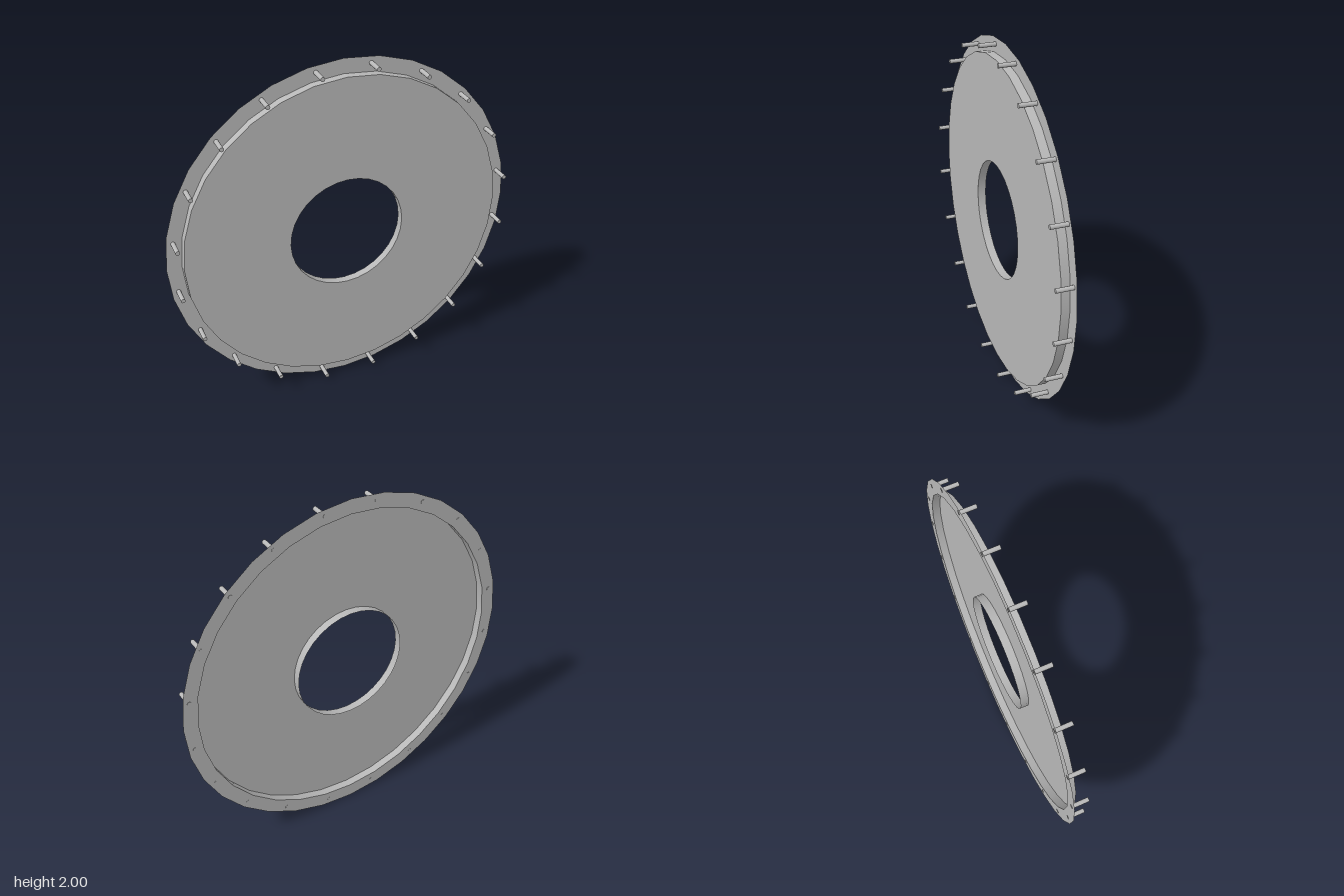
import * as THREE from 'three';

const SIDES = 32;
const R_OUTER = 1, R_WALL = 0.917, R_HOLE = 0.33;
const FRONT = 0, BACK = -0.046;
const PINS = 20, PIN_CIRCLE = 0.962, PIN_RADIUS = 0.012, PIN_LENGTH = 0.095;

export function createModel() {
  const model = new THREE.Group();
  model.name = 'flangedDisc';
  const metal = new THREE.MeshStandardMaterial({ color: 0xb8b8b8, side: THREE.DoubleSide });
  metal.name = 'grey metal';

  // Everything turns about the z axis through the centre of the disc
  const body = new THREE.Group();
  body.name = 'body';
  body.position.y = 1;
  model.add(body);

  const add = (name, geometry, parent = body) => {
    const mesh = new THREE.Mesh(geometry, metal);
    mesh.name = name;
    parent.add(mesh);
    return mesh;
  };

  // Flat thin sheets: raised face in front, bolting flange behind
  const sheet = (name, inner, outer, z) => {
    add(name, new THREE.RingGeometry(inner, outer, SIDES)).position.z = z;
  };
  sheet('faceplate', R_HOLE, R_WALL, FRONT);
  sheet('flange', R_WALL, R_OUTER, BACK);

  // Thin walls joining the face to the flange and lining the centre hole
  const wall = (name, radius) => {
    const g = new THREE.CylinderGeometry(radius, radius, FRONT - BACK, SIDES, 1, true);
    g.rotateX(Math.PI / 2);
    add(name, g).position.z = (FRONT + BACK) / 2;
  };
  wall('outerWall', R_WALL);
  wall('holeCollar', R_HOLE);

  // Ring of pins through the flange
  const pins = new THREE.Group();
  pins.name = 'pins';
  body.add(pins);
  const pinGeometry = new THREE.CylinderGeometry(PIN_RADIUS, PIN_RADIUS, PIN_LENGTH, 16);
  pinGeometry.rotateX(Math.PI / 2);
  for (let i = 0; i < PINS; i++) {
    const a = ((i + 0.5) / PINS) * Math.PI * 2;
    add('pin', pinGeometry, pins).position.set(Math.cos(a) * PIN_CIRCLE, Math.sin(a) * PIN_CIRCLE, 0);
  }

  return model;
}
